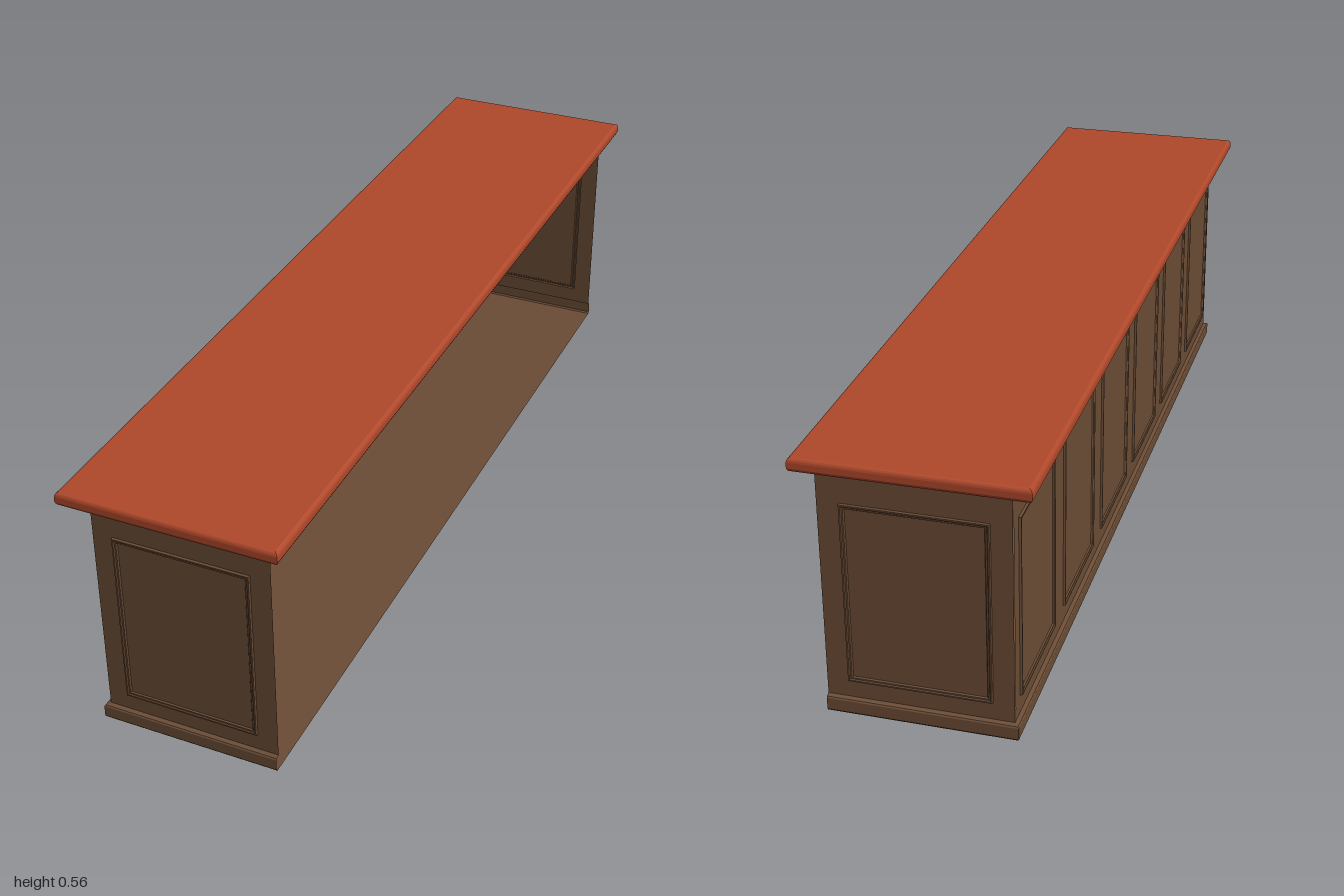
import * as THREE from 'three';

const wood = new THREE.MeshStandardMaterial({ color: 0x6b4c35, side: THREE.DoubleSide });
const red = new THREE.MeshStandardMaterial({ color: 0xb0482a, side: THREE.DoubleSide });

// Skin a stack of rectangles [x0, x1, y0, y1, z]; capFirst / capLast close the ends, open leaves out the +x side
function loft(rings, { capFirst = false, capLast = false, open = false } = {}) {
  const loops = rings.map(([x0, x1, y0, y1, z]) => [[x1, y1, z], [x0, y1, z], [x0, y0, z], [x1, y0, z]]);
  const pos = [];
  const quad = (a, b, c, d) => pos.push(...a, ...b, ...c, ...a, ...c, ...d);
  for (let r = 0; r < loops.length - 1; r++) {
    for (let i = 0; i < (open ? 3 : 4); i++) {
      const j = (i + 1) % 4;
      quad(loops[r][i], loops[r][j], loops[r + 1][j], loops[r + 1][i]);
    }
  }
  if (capFirst) quad(...[...loops[0]].reverse());
  if (capLast) quad(...loops[loops.length - 1]);
  const geo = new THREE.BufferGeometry();
  geo.setAttribute('position', new THREE.Float32BufferAttribute(pos, 3));
  geo.computeVertexNormals();
  return geo;
}

function add(parent, name, geo, mat) {
  const mesh = new THREE.Mesh(geo, mat);
  mesh.name = name;
  parent.add(mesh);
  return mesh;
}

const Y0 = 0.035, Y1 = 0.517, PANEL_Y0 = 0.072, PANEL_Y1 = 0.46;

// Thin wall sheet facing +z, with a raised moulding around each panel; notch narrows its sides between the rails
function wall(name, x0, x1, panels, notch = 0) {
  const group = new THREE.Group();
  group.name = name;
  const lo = 0.062, hi = 0.47;
  const points = notch
    ? [[x0, Y0], [x1, Y0], [x1, lo], [x1 - notch, lo], [x1 - notch, hi], [x1, hi],
       [x1, Y1], [x0, Y1], [x0, hi], [x0 + notch, hi], [x0 + notch, lo], [x0, lo]]
    : [[x0, Y0], [x1, Y0], [x1, Y1], [x0, Y1]];
  const shape = new THREE.Shape(points.map(p => new THREE.Vector2(...p)));
  for (const [a, b] of panels) {
    shape.holes.push(new THREE.Path([[a, PANEL_Y0], [a, PANEL_Y1], [b, PANEL_Y1], [b, PANEL_Y0]]
      .map(p => new THREE.Vector2(...p))));
    const profile = [[0, 0], [0.001, 0.005], [0.004, 0.005], [0.006, 0.003], [0.009, 0.003], [0.011, 0]];
    const rings = profile.map(([inset, d]) =>
      [a + inset, b - inset, PANEL_Y0 + inset, PANEL_Y1 - inset, d]);
    add(group, 'panel', loft(rings, { capLast: true }), wood);
  }
  add(group, 'wallSheet', new THREE.ShapeGeometry(shape), wood);
  return group;
}

export function createModel() {
  const model = new THREE.Group();
  model.name = 'counter';
  const X = 0.181, OPEN = 0.193, Z = 0.959;

  // End walls
  const front = wall('frontWall', -X, OPEN, [[-0.139, 0.15]]);
  front.position.z = Z;
  const back = wall('backWall', -OPEN, X, [[-0.15, 0.139]]);
  back.rotation.y = Math.PI;
  back.position.z = -Z;

  // Long panelled wall on the closed side
  const panels = [-0.8, -0.48, -0.16, 0.16, 0.48, 0.8].map(c => [c - 0.123, c + 0.123]);
  const side = wall('longWall', -Z, Z, panels, 0.005);
  side.rotation.y = -Math.PI / 2;
  side.position.x = -X;
  model.add(front, back, side);

  // Floor and skirting, open on the +x side
  const skirt = [[0.007, 0], [0.01, 0.004], [0.01, 0.029], [0.008, 0.032], [0, Y0]]
    .map(([d, y]) => [-X - d, OPEN, -Z - d, Z + d, y]);
  add(model, 'floorAndSkirting', loft(skirt, { capFirst: true, open: true }), wood).rotation.x = -Math.PI / 2;

  // Worktop with a sloping underside and a rounded rim
  const top = [[0.049, 0.516], [0.008, 0.533], [0.003, 0.536], [0, 0.542],
    [0, 0.554], [0.001, 0.558], [0.003, 0.561], [0.007, 0.563]]
    .map(([d, y]) => [-0.229 + d, 0.229 - d, -1 + d, 1 - d, y]);
  add(model, 'worktop', loft(top, { capFirst: true, capLast: true }), red).rotation.x = -Math.PI / 2;

  return model;
}
